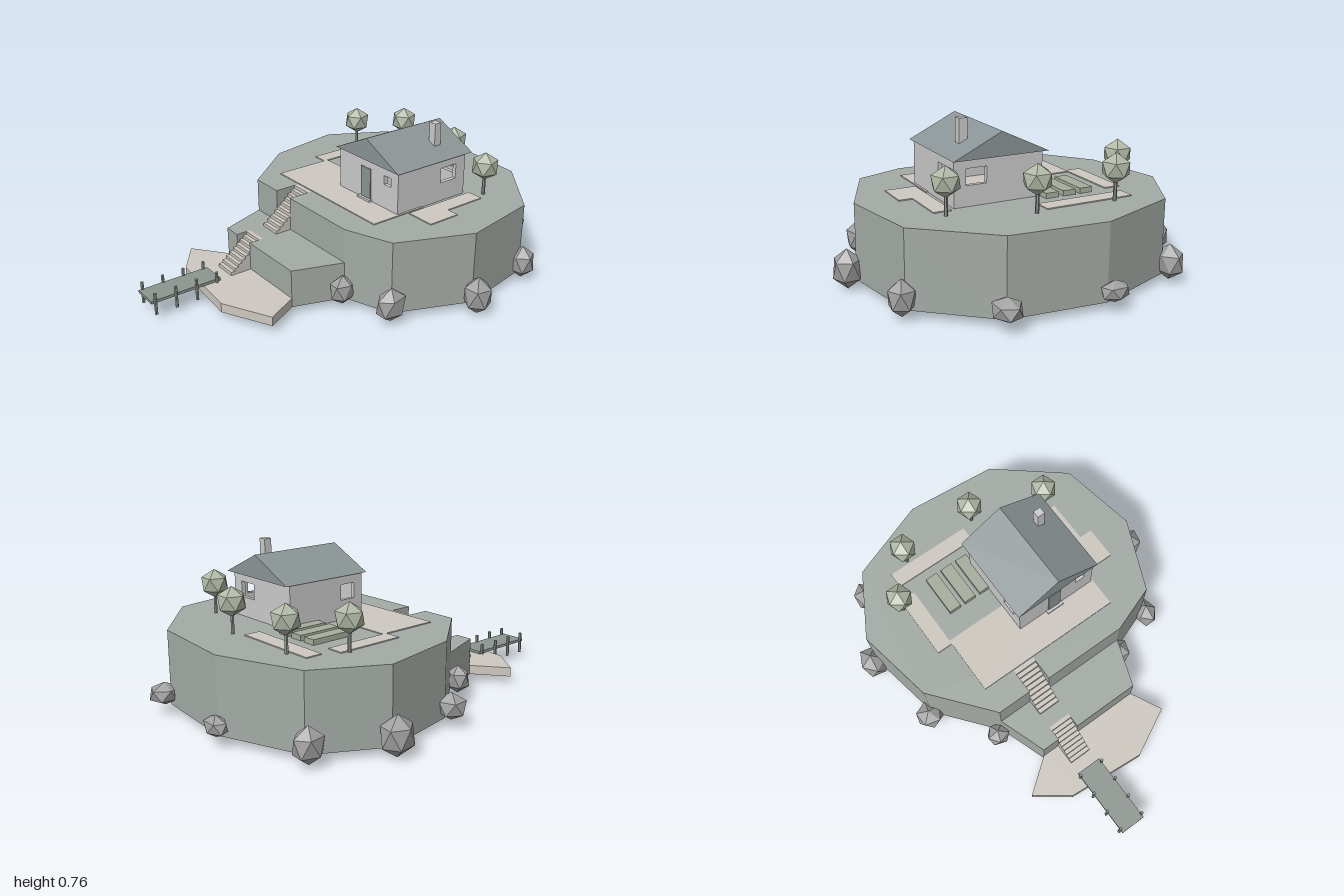
import * as THREE from 'three';

const BASE = 0.047, TOP = 0.405, TERRACE = 0.235;

const paint = (color) => new THREE.MeshStandardMaterial({ color, flatShading: true });
const mats = {
  grey: paint(0xcccccc), grass: paint(0xa3aaa4), sand: paint(0xcdc8c0), roof: paint(0x8b9496),
  wood: paint(0x8d9590), leaf: paint(0xb0b8a6), rock: paint(0xa0a0a0), bed: paint(0xa6ae9e),
};

export function createModel() {
  const model = new THREE.Group();

  const add = (name, geometry, mat, x = 0, y = 0, z = 0, parent = model) => {
    const mesh = new THREE.Mesh(geometry, mat);
    mesh.name = name;
    mesh.position.set(x, y, z);
    parent.add(mesh);
    return mesh;
  };
  // Box given by its low and high corners
  const block = (name, mat, [x0, x1], [y0, y1], [z0, z1], parent) =>
    add(name, new THREE.BoxGeometry(x1 - x0, y1 - y0, z1 - z0), mat,
      (x0 + x1) / 2, (y0 + y1) / 2, (z0 + z1) / 2, parent);
  // Upright prism over an outline of [x, z] points
  const slab = (name, mat, outline, y0, y1) => {
    const shape = new THREE.Shape(outline.map(([x, z]) => new THREE.Vector2(x, -z)));
    const geometry = new THREE.ExtrudeGeometry(shape, { depth: y1 - y0, bevelEnabled: false });
    return add(name, geometry.rotateX(-Math.PI / 2), mat, 0, y0, 0);
  };
  // Icosahedron standing on one corner
  const ball = () => new THREE.IcosahedronGeometry(1).rotateX(-Math.atan((1 + Math.sqrt(5)) / 2));

  // Ground: plateau and terrace, both notched for the stairs, and the beach
  const stairX = [-0.235, -0.12];
  const [sl, sr] = stairX;
  slab('plateau', mats.grass, [
    [-0.15, -0.93], [0.31, -0.89], [0.635, -0.62], [0.705, -0.22], [0.55, 0.14], [0.315, 0.225],
    [sr, 0.225], [sr, 0.095], [sl, 0.095], [sl, 0.225],
    [-0.41, 0.225], [-0.65, -0.07], [-0.725, -0.465], [-0.55, -0.78],
  ], BASE, TOP);
  slab('terrace', mats.grass, [
    [-0.41, 0.225], [-0.325, 0.465], [sl, 0.465], [sl, 0.39], [sr, 0.39], [sr, 0.465],
    [0.23, 0.465], [0.315, 0.225],
  ], BASE, TERRACE);
  slab('beach', mats.sand, [
    [-0.325, 0.465], [-0.49, 0.59], [-0.325, 0.71], [0.07, 0.745], [0.31, 0.625], [0.23, 0.465],
  ], BASE, 0.093);

  // Two flights of stairs
  const flight = (name, count, zStart, zEnd, yStart, yEnd) => {
    const group = new THREE.Group();
    group.name = name;
    model.add(group);
    const run = (zEnd - zStart) / count, rise = (yStart - yEnd) / count;
    for (let i = 0; i < count; i++) {
      block('step', mats.sand, stairX, [BASE, yStart - i * rise],
        [zStart + i * run, zStart + (i + 1) * run], group);
    }
  };
  flight('upperStairs', 10, 0.095, 0.31, TOP, TERRACE);
  flight('lowerStairs', 9, 0.39, 0.575, TERRACE, 0.095);

  // Paving and paths
  [
    [[-0.4, 0.36], [-0.215, 0.09]], [[-0.48, -0.4], [-0.53, -0.195]], [[-0.44, 0], [-0.68, -0.6]],
    [[0.37, 0.455], [-0.51, -0.285]], [[0.37, 0.52], [-0.285, -0.115]],
  ].forEach(([x, z]) => block('paving', mats.sand, x, [TOP - 0.01, TOP + 0.005], z));

  // Garden beds
  for (const x of [-0.285, -0.197, -0.108]) {
    block('gardenBed', mats.bed, [x - 0.032, x + 0.032], [TOP - 0.01, 0.43], [-0.545, -0.33]);
  }

  // House walls with open windows [centre, width, bottom, top]
  const house = new THREE.Group();
  house.name = 'house';
  model.add(house);
  const height = 0.217, thick = 0.02, midX = 0.1325, midZ = -0.275;
  const wall = (name, width, x, z, turn, [u, w, b, t]) => {
    const rect = (Path, x0, x1, y0, y1) => new Path([[x0, y0], [x1, y0], [x1, y1], [x0, y1]]
      .map(([px, py]) => new THREE.Vector2(px, py)));
    const shape = rect(THREE.Shape, -width / 2, width / 2, 0, height);
    shape.holes.push(rect(THREE.Path, u - w / 2, u + w / 2, b, t));
    const geometry = new THREE.ExtrudeGeometry(shape, { depth: thick, bevelEnabled: false });
    add(name, geometry.translate(0, 0, -thick), mats.grey, x, TOP, z, house).rotation.y = turn;
  };
  wall('frontWall', 0.435, midX, -0.06, 0, [0.1425, 0.05, 0.125, 0.17]);
  wall('backWall', 0.435, midX, -0.49, Math.PI, [-0.11, 0.1, 0.095, 0.17]);
  wall('eastWall', 0.39, 0.35, midZ, Math.PI / 2, [0.105, 0.1, 0.095, 0.17]);
  wall('westWall', 0.39, -0.085, midZ, -Math.PI / 2, [0.125, 0.08, 0.095, 0.17]);
  block('door', mats.wood, [0.085, 0.155], [TOP, 0.575], [-0.07, -0.055], house);
  block('doorStep', mats.grey, [0.073, 0.165], [TOP, 0.42], [-0.06, -0.042], house);

  // Gable roof with its ridge along z, and chimney
  const gable = new THREE.Shape([[-0.1, 0.618], [0.365, 0.618], [midX, 0.729]]
    .map(([x, y]) => new THREE.Vector2(x, y)));
  add('roof', new THREE.ExtrudeGeometry(gable, { depth: 0.475, bevelEnabled: false }),
    mats.roof, 0, 0, -0.52, house);
  block('chimney', mats.grey, [0.236, 0.276], [0.64, 0.773], [-0.39, -0.352], house);

  // Trees
  for (const [x, z] of [[-0.333, -0.7], [0.063, -0.7], [0.42, -0.56], [-0.49, -0.49]]) {
    const tree = new THREE.Group();
    tree.name = 'tree';
    tree.position.set(x, TOP, z);
    model.add(tree);
    add('trunk', new THREE.CylinderGeometry(0.008, 0.009, 0.1, 6), mats.wood, 0, 0.05, 0, tree);
    add('crown', ball(), mats.leaf, 0, 0.148, 0, tree).scale.setScalar(0.07);
  }

  // Shore rocks: x, z, then width, height and depth
  [
    [-0.17, -0.955, 0.14, 0.1, 0.09], [0.32, -0.915, 0.13, 0.11, 0.15],
    [-0.585, -0.79, 0.12, 0.17, 0.15], [0.65, -0.62, 0.125, 0.17, 0.125],
    [-0.75, -0.46, 0.14, 0.19, 0.16], [0.745, -0.215, 0.135, 0.19, 0.135],
    [-0.67, -0.05, 0.14, 0.13, 0.14], [0.565, 0.155, 0.11, 0.17, 0.16],
    [-0.445, 0.24, 0.12, 0.14, 0.11], [0.325, 0.245, 0.1, 0.15, 0.13],
  ].forEach(([x, z, w, h, d], i) => {
    const rock = ball().rotateY(i * 0.9).scale(w / 1.88, h / 2, d / 1.88);
    add('rock', rock, mats.rock, x, 0.105, z);
  });

  // Jetty with four pairs of posts
  const jetty = new THREE.Group();
  jetty.name = 'jetty';
  model.add(jetty);
  block('deck', mats.wood, [-0.24, -0.11], [0.096, 0.11], [0.64, 1], jetty);
  for (const z of [0.66, 0.768, 0.875, 0.98]) {
    for (const x of [-0.24, -0.11]) {
      add('post', new THREE.CylinderGeometry(0.008, 0.008, 0.108, 6), mats.wood, x, 0.092, z, jetty);
    }
  }

  return model;
}
